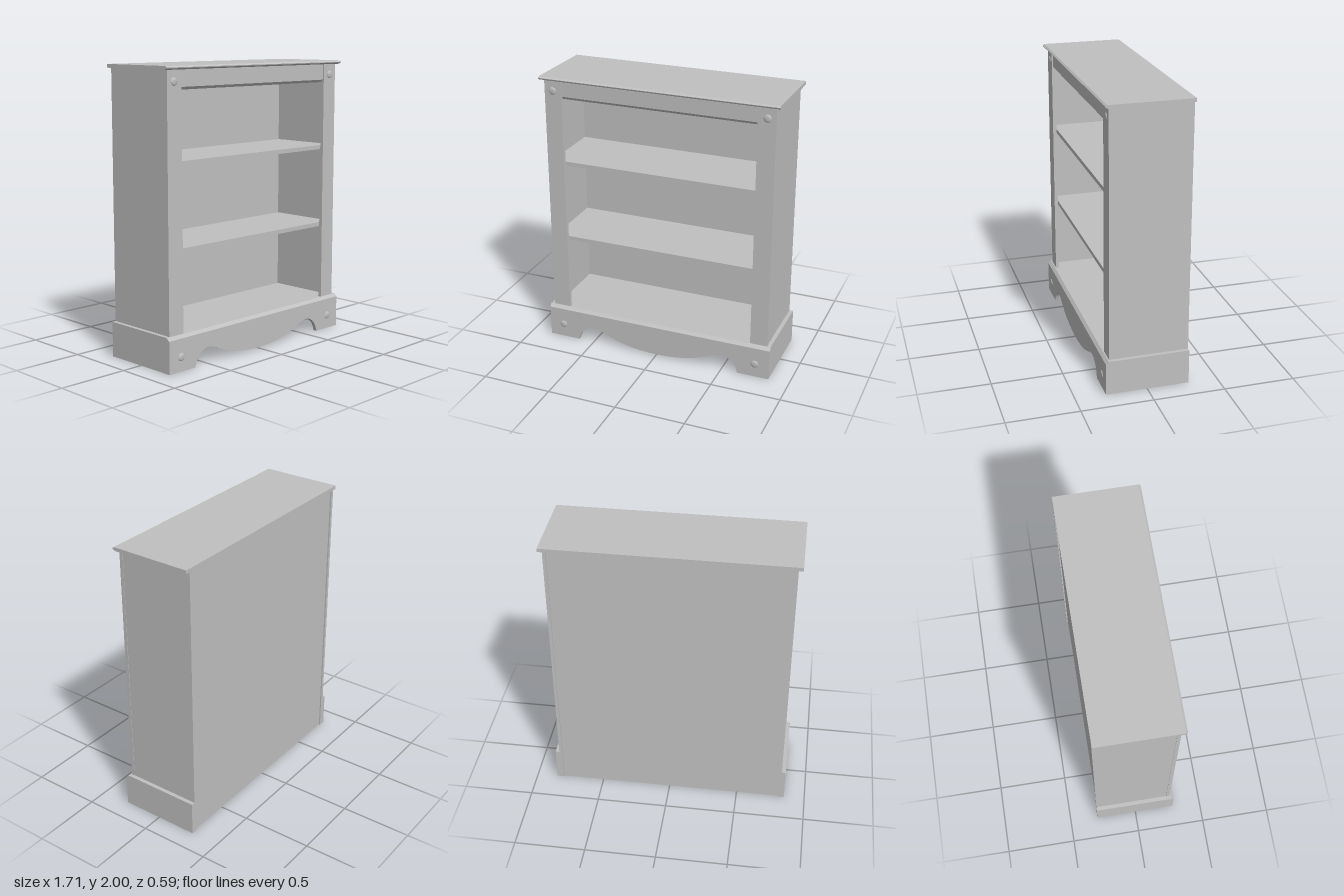
import * as THREE from 'three';

export function createModel() {
  const model = new THREE.Group();
  model.name = 'bookcase';
  const paint = new THREE.MeshStandardMaterial({ color: 0xc0c0c0 });
  paint.name = 'grey paint';

  const add = (name, geometry) => {
    const mesh = new THREE.Mesh(geometry, paint);
    mesh.name = name;
    model.add(mesh);
    return mesh;
  };
  // Box given by its limits on each axis
  const box = (name, x0, x1, y0, y1, z0, z1) => {
    const mesh = add(name, new THREE.BoxGeometry(x1 - x0, y1 - y0, z1 - z0));
    mesh.position.set((x0 + x1) / 2, (y0 + y1) / 2, (z0 + z1) / 2);
    return mesh;
  };
  // Moulding: a (z, y) profile swept along x over a given half width
  const moulding = (name, half, profile) => {
    const shape = new THREE.Shape(profile.map(([z, y]) => new THREE.Vector2(-z, y)));
    const geometry = new THREE.ExtrudeGeometry(shape, { depth: half * 2, bevelEnabled: false });
    geometry.translate(0, 0, -half);
    geometry.rotateY(Math.PI / 2);
    return add(name, geometry);
  };

  // Top board with an eased front edge
  moulding('topBoard', 0.855, [
    [-0.295, 1.975], [0.272, 1.975], [0.288, 1.984], [0.29, 1.99], [0.278, 2], [-0.295, 2],
  ]);

  // Carcass
  box('backPanel', -0.8, 0.8, 0, 1.975, -0.285, -0.27);
  box('bottomShelf', -0.8, 0.8, 0.213, 0.243, -0.27, 0.26);
  box('lowerShelf', -0.8, 0.8, 0.78, 0.81, -0.27, 0.235);
  box('upperShelf', -0.8, 0.8, 1.355, 1.385, -0.27, 0.235);
  box('frontRail', -0.7, 0.7, 0.13, 0.213, 0.235, 0.26);

  // Top rail with a chamfered lower edge
  moulding('topRail', 0.7, [
    [0.225, 1.845], [0.236, 1.845], [0.25, 1.863], [0.25, 1.975], [0.225, 1.975],
  ]);

  // Mirrored sides, posts, plinth returns and studs
  for (const s of [-1, 1]) {
    const side = s > 0 ? 'left' : 'right';
    const mirrored = (name, a, b, ...rest) =>
      box(side + name, Math.min(s * a, s * b), Math.max(s * a, s * b), ...rest);
    mirrored('SidePanel', 0.8, 0.822, 0, 1.975, -0.295, 0.235);
    mirrored('Post', 0.7, 0.825, 0, 1.975, 0.235, 0.26);
    mirrored('PlinthReturn', 0.822, 0.85, 0, 0.245, -0.295, 0.26);
    for (const [name, x, y, z] of [['PostStud', 0.765, 1.9, 0.26], ['PlinthStud', 0.745, 0.1, 0.288]]) {
      const stud = add(side + name, new THREE.SphereGeometry(0.027, 24, 16));
      stud.scale.z = 0.3;
      stud.position.set(s * x, y, z);
    }
  }

  // Plinth front with a scalloped lower edge
  const scallop = [[0.62, 0], [0.605, 0.045], [0.575, 0.085], [0.535, 0.11], [0.49, 0.116], [0.44, 0.105],
    [0.38, 0.078], [0.3, 0.048], [0.2, 0.024], [0.1, 0.012], [0, 0.008]];
  const half = scallop.map(([x, y]) => new THREE.Vector2(x, y));
  const otherHalf = half.slice(0, -1).reverse().map((p) => new THREE.Vector2(-p.x, p.y));
  const curve = new THREE.SplineCurve([...half, ...otherHalf]).getPoints(80);
  const front = new THREE.Shape([
    new THREE.Vector2(0.85, 0), new THREE.Vector2(0.85, 0.225),
    new THREE.Vector2(-0.85, 0.225), new THREE.Vector2(-0.85, 0),
    ...curve.reverse(),
  ]);
  const plinth = add('plinthFront', new THREE.ExtrudeGeometry(front, { depth: 0.028, bevelEnabled: false }));
  plinth.position.z = 0.26;
  // Chamfered cap along the plinth
  moulding('plinthCap', 0.853, [[0.26, 0.225], [0.288, 0.225], [0.268, 0.245], [0.26, 0.245]]);

  return model;
}
